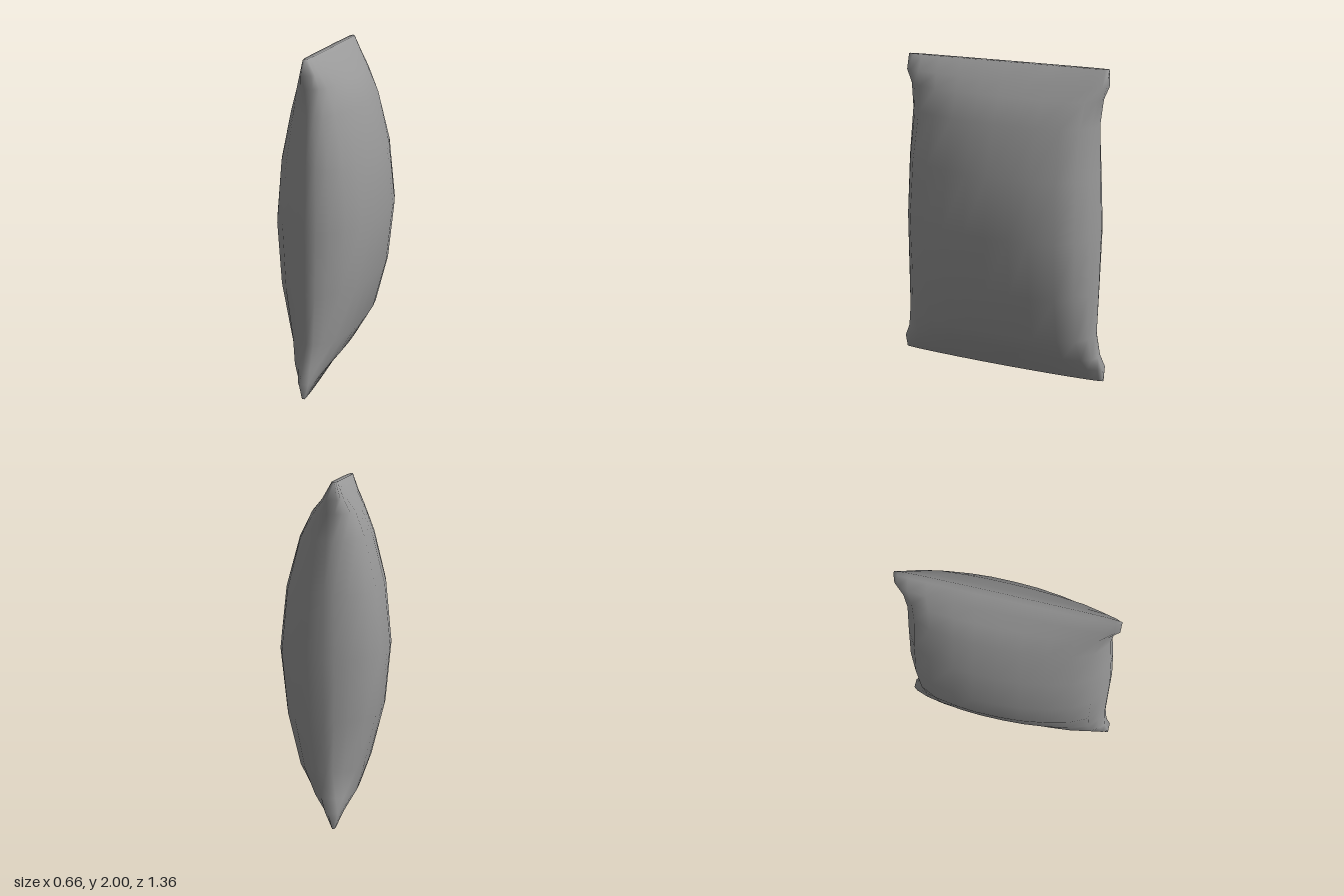
import * as THREE from 'three';

// Cross-sections: y, min x, max x, back z, front z, outline power (below 1 is boxier)
const LEVELS = [
  [0, -0.05, -0.015, -0.68, 0.68, 0.4],
  [0.1, -0.1, 0.04, -0.68, 0.68, 0.4],
  [0.18, -0.165, 0.12, -0.65, 0.65, 0.8],
  [0.33, -0.22, 0.21, -0.63, 0.63, 1],
  [0.63, -0.295, 0.29, -0.635, 0.625, 1],
  [1.0, -0.33, 0.33, -0.64, 0.62, 1],
  [1.37, -0.295, 0.29, -0.625, 0.6, 1],
  [1.67, -0.22, 0.205, -0.615, 0.575, 1],
  [1.82, -0.155, 0.125, -0.63, 0.585, 0.8],
  [1.9, -0.095, 0.05, -0.66, 0.615, 0.4],
  [2.0, -0.05, -0.015, -0.66, 0.615, 0.4],
];

// Half outline of the puffed section, front to back: fraction of depth, fraction of half width
const HALF = [
  [1, 0.1], [0.975, 0.3], [0.93, 0.57], [0.835, 0.77], [0.72, 0.89], [0.6, 0.97],
  [0.49, 1], [0.37, 1], [0.27, 0.965], [0.15, 0.88], [0.065, 0.7], [0.018, 0.38], [0, 0.1],
];

function ring([y, x0, x1, z0, z1, power]) {
  const side = (sign) => HALF.map(([t, w]) => {
    // the end seams bow and slope slightly
    let h = y;
    if (y === 0) h = 0.01 * (2 * t - 1) ** 2;
    if (y === 2) h = 2 - 0.01 * t;
    return [(x0 + x1) / 2 + (sign * w ** power * (x1 - x0)) / 2, h, z0 + t * (z1 - z0)];
  });
  return [...side(1), ...side(-1).reverse()];
}

// Smooth skin joining the sections, closed by a narrow strip along each end seam
function bagGeometry() {
  const n = HALF.length * 2, top = (LEVELS.length - 1) * n, index = [];
  for (let j = 0; j < LEVELS.length - 1; j++) {
    for (let i = 0; i < n; i++) {
      const a = j * n + i, b = j * n + ((i + 1) % n);
      index.push(a, b + n, b, a, a + n, b + n);
    }
  }
  // outward winding for the skin
  index.reverse();
  for (let a = 0; a < HALF.length - 1; a++) {
    const b = a + 1, c = n - 2 - a, d = n - 1 - a;
    index.push(a, c, b, a, d, c);
    index.push(top + a, top + b, top + c, top + a, top + c, top + d);
  }
  const g = new THREE.BufferGeometry();
  g.setAttribute('position', new THREE.Float32BufferAttribute(LEVELS.flatMap(ring).flat(), 3));
  g.setIndex(index);
  g.computeVertexNormals();
  return g;
}

export function createModel() {
  const group = new THREE.Group();
  group.name = 'pillowBag';
  const foil = new THREE.MeshStandardMaterial({ color: 0x999999 });
  foil.name = 'grey foil';
  const bag = new THREE.Mesh(bagGeometry(), foil);
  bag.name = 'bagBody';
  group.add(bag);
  return group;
}
